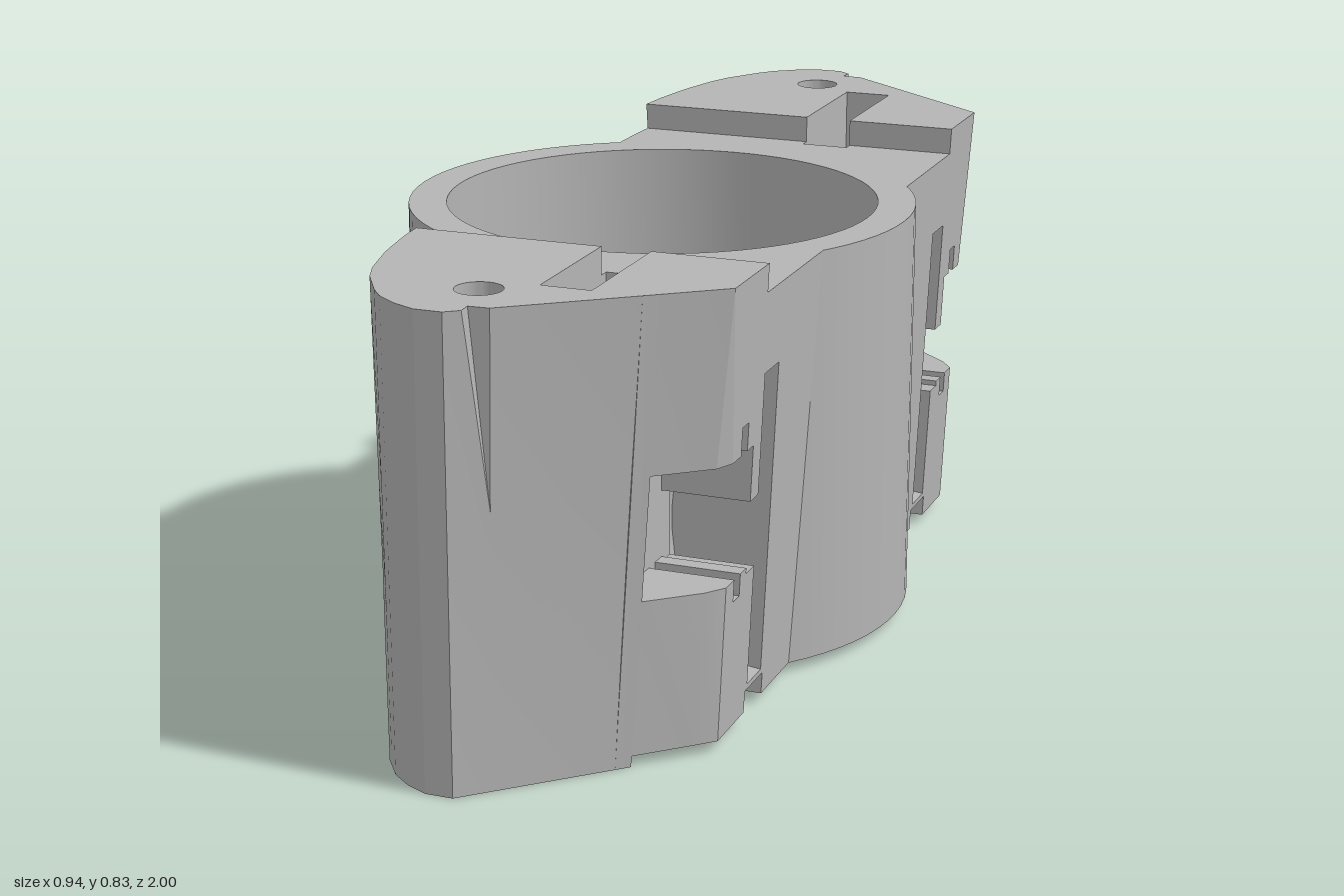
import * as THREE from 'three';
import { mergeGeometries, toCreasedNormals } from 'three/addons/utils/BufferGeometryUtils.js';

const H = 0.83;
const V = (x, y) => new THREE.Vector2(x, y);
const lean = (y) => 1 - y / H;

// left edge of the wing seen from above, as z, x
const curve = [[0.2, -0.25], [0.4, -0.25], [0.5, -0.248], [0.6, -0.24], [0.7, -0.225], [0.8, -0.2],
  [0.85, -0.18], [0.9, -0.153], [0.95, -0.113], [0.98, -0.073], [1, -0.03]];
function left(z, y) {
  let i = 1;
  while (i < curve.length - 1 && curve[i][0] < z) i++;
  const [z0, x0] = curve[i - 1], [z1, x1] = curve[i];
  const x = x0 + (x1 - x0) * (z - z0) / (z1 - z0);
  return x + 0.055 * lean(y) * Math.min(1, Math.max(0, (1 - z) / 0.6));
}
// right edge: leaning flat face, then a diagonal face to the tip
function right(z, y) {
  const x = 0.4 - 0.04 * lean(y), corner = 0.705 - 0.035 * lean(y);
  return z < corner ? x : x - (z - corner) * (x - 0.02) / (1 - corner);
}

// closed solid between two matching outlines; upright = stacked along y, otherwise along z
function loft(a, b, t0, t1, upright, side, holes = []) {
  const pos = [];
  const put = (p, t) => (upright ? pos.push(p.x, t, p.y * side) : pos.push(p.x, p.y, t * side));
  const flip = upright !== (side < 0);
  const tri = (p, tp, q, tq, r, tr) => {
    put(p, tp);
    if (flip) { put(r, tr); put(q, tq); } else { put(q, tq); put(r, tr); }
  };
  const cap = (pts, t, up) => {
    const all = [...pts, ...holes.flat()];
    for (const f of THREE.ShapeUtils.triangulateShape(pts.slice(), holes.map((h) => h.slice()))) {
      let [p, q, r] = f.map((i) => all[i]);
      const area = (q.x - p.x) * (r.y - p.y) - (q.y - p.y) * (r.x - p.x);
      if ((area > 0) !== up) [q, r] = [r, q];
      tri(p, t, q, t, r, t);
    }
  };
  const wall = (lo, hi, ccw) => {
    const keep = (THREE.ShapeUtils.area(lo) > 0) === ccw;
    const n = lo.length;
    for (let i = 0; i < n; i++) {
      let j = (i + 1) % n, k = i;
      if (!keep) [k, j] = [j, k];
      tri(lo[k], t0, lo[j], t0, hi[j], t1);
      tri(lo[k], t0, hi[j], t1, hi[k], t1);
    }
  };
  cap(a, t0, false);
  cap(b, t1, true);
  wall(a, b, true);
  holes.forEach((h) => wall(h, h, false));
  const g = new THREE.BufferGeometry();
  g.setAttribute('position', new THREE.Float32BufferAttribute(pos, 3));
  return g;
}

// web joining the ring to the wing
function webOutline(y) {
  const pts = [V(right(0.3, y), 0.22), V(right(0.45, y), 0.45), V(left(0.45, y), 0.45),
    V(left(0.4, y), 0.4), V(left(0.36, y), 0.36)];
  for (let d = 115; d >= 40; d -= 7.5) {
    const a = d * Math.PI / 180;
    pts.push(V(0.435 * Math.cos(a), 0.435 * Math.sin(a)));
  }
  return pts;
}

// recess cut into the right face, listed from bottom to top
const pocket = (y0, y1, z) => [V(right(z, y0), y0), V(0.22, y0), V(0.22, y1), V(right(z, y1), y1)];
function arcGroove(z) {
  const pts = [];
  for (let i = 0; i <= 20; i++) {
    const a = -Math.PI / 2 + Math.PI * i / 20;
    const y = 0.353 + 0.283 * Math.sin(a);
    pts.push(V(right(z, y) - 0.18 * Math.cos(a), y));
  }
  return pts;
}

// slices of the wing: z start, z end, bottom, top, slotted, recess
const slices = [
  [0.45, 0.46, 0.06, 0.78, false],
  [0.46, 0.52, 0.06, 0.78, false, arcGroove],
  [0.52, 0.53, 0.06, 0.78, true, arcGroove],
  [0.53, 0.54, 0.06, 0.78, true, (z) => pocket(0.29, 0.42, z)],
  [0.54, 0.57, 0.02, H, true, (z) => pocket(0.29, 0.42, z)],
  [0.57, 0.6, 0.02, H, true, (z) => pocket(0.3, 0.52, z)],
  [0.6, 0.63, 0.02, H, true, (z) => pocket(0.26, 0.57, z)],
  [0.63, 0.67, 0.02, H, true, (z) => pocket(0.3, 0.52, z)],
  [0.67, 0.705, 0.02, H, true, (z) => pocket(0.3, 0.52, z)],
  [0.705, 0.78, 0.02, H, true, (z) => pocket(0.3, 0.52, z)],
  [0.78, 0.8, 0, H, true],
];
function sliceParts([z0, z1, y0, y1, slotted, recess], side) {
  const l = (z) => [V(left(z, y0), y0), V(left(z, y1), y1)];
  const r = (z) => [V(right(z, y0), y0), ...(recess ? recess(z) : []), V(right(z, y1), y1)];
  const rightPart = (z) => [V(0.19, y0), ...r(z), V(0.19, y1)];
  const leftPart = (z) => [l(z)[0], V(0.1, y0), V(0.1, y1), l(z)[1]];
  const whole = (z) => [l(z)[0], ...r(z), l(z)[1]];
  return (slotted ? [leftPart, rightPart] : [whole]).map((f) => loft(f(z0), f(z1), z0, z1, false, side));
}

// tip: screw hole, V-notch at the top right, tapering gouge at the bottom left
function tipOutline(y, notch, gouge) {
  const diag = (z) => V(right(z, y), z);
  const c = diag(0.953);
  const e = V(left(0.85, y), 0.85);
  const mix = (from, to, k) => from.clone().lerp(to, k);
  return [diag(0.8), c,
    mix(c, V(0.043, 0.955), notch), mix(c, diag(0.981), notch), V(0.02, 1),
    ...[1, 0.98, 0.95, 0.92].map((z) => V(left(z, y), z)),
    mix(e, V(left(0.9, y), 0.9), gouge), mix(e, V(-0.135, 0.82), gouge),
    mix(e, V(left(0.81, y), 0.81), gouge), V(left(0.8, y), 0.8)];
}
function tipParts(side) {
  const hole = [];
  for (let i = 0; i < 24; i++) {
    const a = i * Math.PI / 12;
    hole.push(V(0.017 + 0.041 * Math.cos(a), 0.855 + 0.041 * Math.sin(a)));
  }
  // y, notch amount, gouge amount
  const levels = [[0, 0, 1], [0.2, 0, 0.75], [0.29, 0, 0.4], [0.325, 0, 0], [0.49, 0, 0], [H, 1, 0]];
  return levels.slice(1).map((b, i) =>
    loft(tipOutline(...levels[i]), tipOutline(...b), levels[i][0], b[0], true, side, [hole]));
}

export function createModel() {
  const group = new THREE.Group();
  group.name = 'clampBracket';
  const grey = new THREE.MeshStandardMaterial({ color: 0xb4b4b4 });
  grey.name = 'grey';
  const add = (name, parts, parent) => {
    const mesh = new THREE.Mesh(toCreasedNormals(mergeGeometries(parts), 0.4), grey);
    mesh.name = name;
    parent.add(mesh);
  };

  // central ring
  const section = [[0.4, 0.02], [0.47, 0.02], [0.47, 0.78], [0.4, 0.78], [0.4, 0.02]].map((p) => V(...p));
  add('ring', [new THREE.LatheGeometry(section, 72)], group);

  // mirrored wings
  for (const side of [1, -1]) {
    const wing = new THREE.Group();
    wing.name = side > 0 ? 'frontWing' : 'backWing';
    add('web', [loft(webOutline(0.02), webOutline(0.78), 0.02, 0.78, true, side)], wing);
    add('slottedBlock', slices.flatMap((s) => sliceParts(s, side)), wing);
    add('tip', tipParts(side), wing);
    group.add(wing);
  }
  return group;
}
